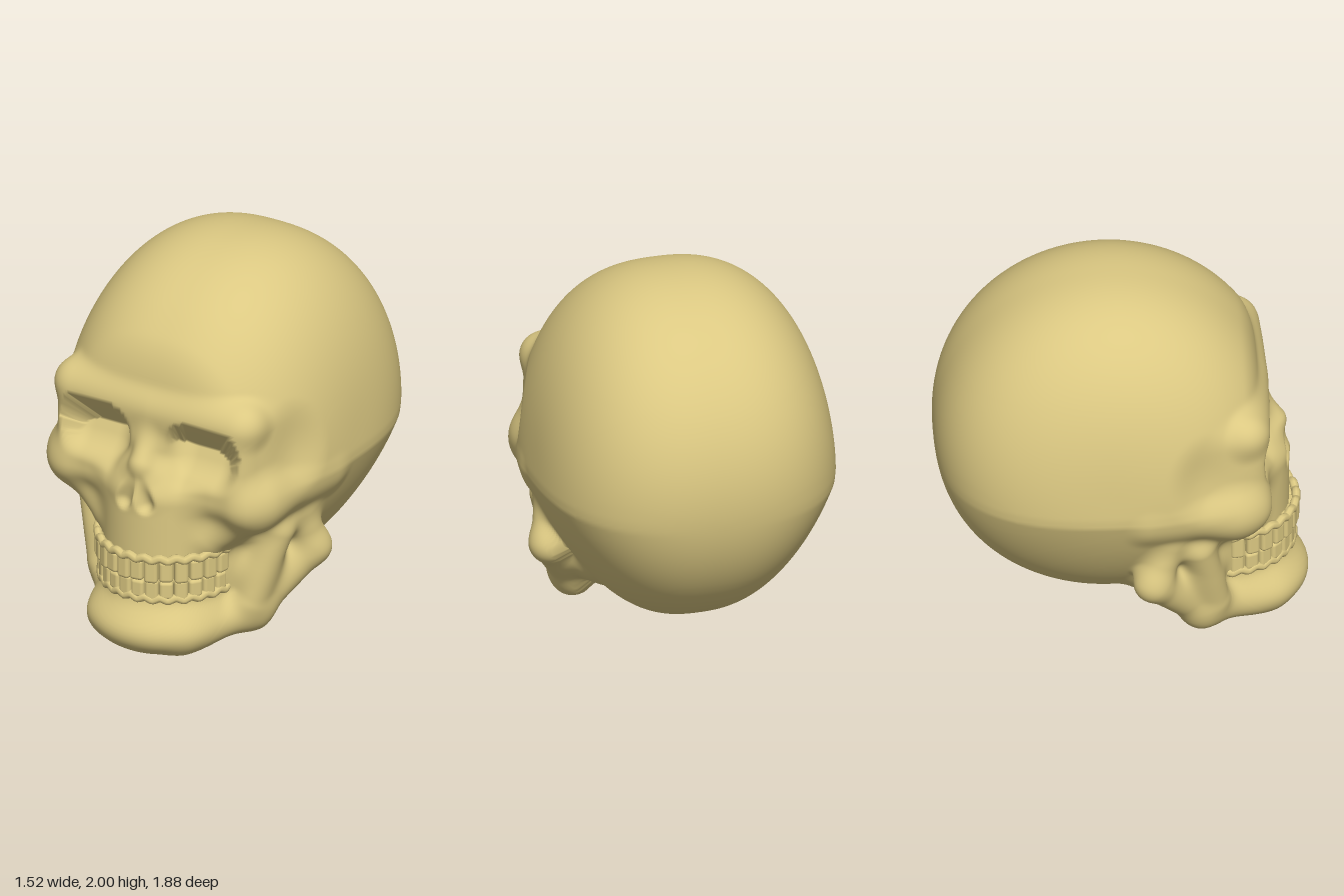
import * as THREE from 'three';
import { mergeVertices } from 'three/addons/utils/BufferGeometryUtils.js';
import { RoundedBoxGeometry } from 'three/addons/geometries/RoundedBoxGeometry.js';

const bone = new THREE.MeshStandardMaterial({ color: 0xdbc882 });

// Distance helpers: smooth join, smooth cut, ellipsoid, rounded box, capsule
const join = (a, b, k) => {
  const h = Math.max(k - Math.abs(a - b), 0) / k;
  return Math.min(a, b) - h * h * k / 4;
};
const cut = (a, b, k) => -join(-a, b, k);
const len = (x, y, z) => Math.sqrt(x * x + y * y + z * z);

function ellipsoid(x, y, z, c, r) {
  const a = (x - c[0]) / r[0], b = (y - c[1]) / r[1], d = (z - c[2]) / r[2];
  const k = len(a, b, d);
  return k * (k - 1) / (len(a / r[0], b / r[1], d / r[2]) + 1e-6);
}
function box(x, y, z, c, h, r) {
  const a = Math.abs(x - c[0]) - h[0] + r, b = Math.abs(y - c[1]) - h[1] + r, d = Math.abs(z - c[2]) - h[2] + r;
  return len(Math.max(a, 0), Math.max(b, 0), Math.max(d, 0)) + Math.min(Math.max(a, b, d), 0) - r;
}
function capsule(x, y, z, a, b, r) {
  const ux = b[0] - a[0], uy = b[1] - a[1], uz = b[2] - a[2];
  const px = x - a[0], py = y - a[1], pz = z - a[2];
  const t = Math.min(1, Math.max(0, (px * ux + py * uy + pz * uz) / (ux * ux + uy * uy + uz * uz)));
  return len(px - t * ux, py - t * uy, pz - t * uz) - r;
}

// Braincase: squarish in plan, tapering above and below its widest level
function cranium(x, y, z) {
  const w = Math.max(0.3, 0.76 - 0.09 * Math.max(0, y - 1) - 0.3 * Math.max(0, 0.95 - y));
  const b = (y - 1.1) / 0.9, c = (z + 0.07) / 0.87;
  const k = Math.pow(Math.pow(x / w, 2.5) + Math.pow(b * b + c * c, 1.25), 0.4);
  let d = (k - 1) * 0.76;
  d = -join(-d, -(z - 0.69), 0.1);                                              // flat forehead
  return cut(d, ellipsoid(x, y, z, [0.8, 1.17, 0.47], [0.17, 0.26, 0.2]), 0.1); // temple hollow
}

// Upper and lower jaw core behind the teeth
function jawCore(x, y, z) {
  const a = x / 0.34, b = (z - 0.48) / 0.36;
  const d = (Math.sqrt(a * a + b * b) - 1) * 0.34;
  return -join(-d, -(Math.abs(y - 0.58) - 0.36), 0.08);
}

// Whole skull as a distance field, mirrored in x
function skullField(sx, y, z) {
  const x = Math.abs(sx);
  let d = cranium(x, y, z);
  const add = (e, k) => { d = join(d, e, k); };
  // Face plate, brow, cheekbones
  add(box(x, y, z, [0, 1.1, 0.4], [0.57, 0.3, 0.31], 0.1), 0.08);
  add(capsule(x, y, z, [0, 1.31, 0.62], [0.5, 1.32, 0.59], 0.1), 0.06);
  add(ellipsoid(x, y, z, [0.53, 0.89, 0.52], [0.14, 0.16, 0.19]), 0.08);
  add(capsule(x, y, z, [0.56, 0.9, 0.52], [0.64, 0.92, 0.1], 0.09), 0.08);
  add(capsule(x, y, z, [0.5, 0.82, 0.54], [0.3, 0.66, 0.6], 0.08), 0.08);
  add(jawCore(x, y, z), 0.08);
  // Lower jaw: infill, ramus, body, chin
  add(ellipsoid(x, y, z, [0, 0.45, 0.25], [0.55, 0.3, 0.35]), 0.06);
  add(capsule(x, y, z, [0.6, 0.5, 0.13], [0.57, 0.72, 0.2], 0.085), 0.06);
  add(capsule(x, y, z, [0.6, 0.5, 0.13], [0.4, 0.2, 0.38], 0.09), 0.06);
  add(capsule(x, y, z, [0.55, 0.66, 0.36], [0.44, 0.28, 0.44], 0.075), 0.08);
  add(capsule(x, y, z, [0.4, 0.2, 0.38], [0.2, 0.15, 0.7], 0.1), 0.08);
  add(ellipsoid(x, y, z, [0, 0.165, 0.66], [0.34, 0.16, 0.275]), 0.08);
  // Eye sockets, deeper under the brow
  d = cut(d, box(x, y, z, [0.31, 1.12, 0.76 + 0.45 * (1.2 - y)], [0.195, 0.15, 0.2], 0.12), 0.05);
  // Nose bridge and the two halves of its opening
  add(capsule(x, y, z, [0, 1.24, 0.63], [0, 1.05, 0.765], 0.06), 0.06);
  add(ellipsoid(x, y, z, [0, 0.92, 0.7], [0.17, 0.16, 0.12]), 0.06);
  d = cut(d, capsule(x, y, z, [0.03, 0.97, 0.86], [0.065, 0.86, 0.84], 0.045), 0.02);
  return d;
}

// Move a spherified box onto the field, ray by ray from a point inside the head
function skullGeometry() {
  let g = new THREE.BoxGeometry(2, 2, 2, 96, 96, 96);
  g.deleteAttribute('uv');
  g.deleteAttribute('normal');
  g = mergeVertices(g);
  const p = g.attributes.position, v = new THREE.Vector3();
  const warp = (s) => Math.tan(s * Math.PI / 4);
  for (let i = 0; i < p.count; i++) {
    v.fromBufferAttribute(p, i);
    v.set(warp(v.x), warp(v.y), warp(v.z)).normalize();
    let t = 1.6;
    for (let n = 0; n < 90; n++) {
      const d = skullField(v.x * t, 0.68 + v.y * t, 0.12 + v.z * t);
      t -= d * 0.65;
      if (Math.abs(d) < 0.0005 || t < 0.1) break;
    }
    p.setXYZ(i, v.x * t, 0.68 + v.y * t, 0.12 + v.z * t);
  }
  g.computeVertexNormals();
  return g;
}

// Dental arch: rx and rz are its radii, a is the angle from the front
const archPoint = (a, y, rx, rz) => new THREE.Vector3(rx * Math.sin(a), y, 0.49 + rz * Math.cos(a));

function toothRow(name, y, height, rx, rz, gumY) {
  const row = new THREE.Group();
  row.name = name;
  const count = 14, span = 1.48;
  for (let i = 0; i < count; i++) {
    const a = span * ((i + 0.5) / count * 2 - 1);
    const h = height * (1 - 0.12 * (i % 2));
    const tooth = new THREE.Mesh(new RoundedBoxGeometry(0.07, h, 0.07, 2, 0.018), bone);
    tooth.position.copy(archPoint(a, y, rx - 0.02, rz - 0.02));
    tooth.rotation.y = Math.atan2(Math.sin(a) / rx, Math.cos(a) / rz);
    tooth.name = 'tooth';
    row.add(tooth);
  }
  // Scalloped gum ridge over the roots
  const pts = [];
  for (let i = 0; i <= count * 4; i++) {
    const s = i / (count * 4);
    pts.push(archPoint(span * 1.05 * (s * 2 - 1), gumY + 0.008 * Math.cos(s * count * Math.PI * 2), rx, rz));
  }
  const gum = new THREE.Mesh(new THREE.TubeGeometry(new THREE.CatmullRomCurve3(pts), 112, 0.022, 8), bone);
  gum.name = 'gumRidge';
  row.add(gum);
  return row;
}

export function createModel() {
  const model = new THREE.Group();
  model.name = 'skull';
  const skull = new THREE.Mesh(skullGeometry(), bone);
  skull.name = 'skullBone';
  model.add(skull);
  model.add(toothRow('upperTeeth', 0.52, 0.13, 0.36, 0.385, 0.585));
  model.add(toothRow('lowerTeeth', 0.41, 0.11, 0.345, 0.37, 0.36));
  return model;
}
